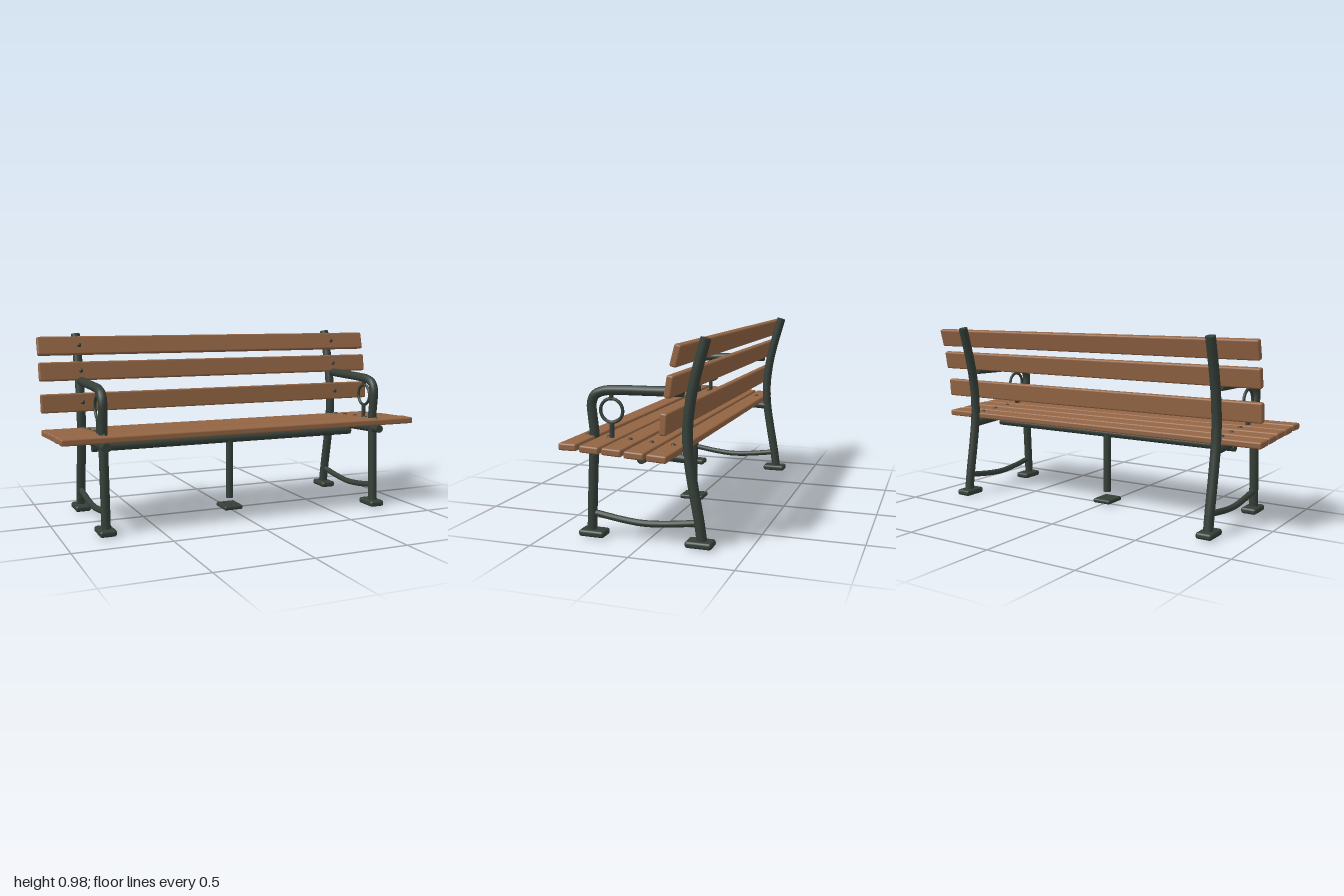
import * as THREE from 'three';
import { mergeGeometries } from 'three/addons/utils/BufferGeometryUtils.js';
import { RoundedBoxGeometry } from 'three/addons/geometries/RoundedBoxGeometry.js';

const iron = new THREE.MeshStandardMaterial({ name: 'dark green iron', color: 0x353f38 });
const wood = new THREE.MeshStandardMaterial({ name: 'brown wood', color: 0x936544 });

function add(parent, name, geometry, material, x = 0, y = 0, z = 0) {
  const mesh = new THREE.Mesh(geometry, material);
  mesh.name = name;
  mesh.position.set(x, y, z);
  parent.add(mesh);
  return mesh;
}

// Round bar with capped ends through [z, y] points in the plane x = 0
function bar(points, radius, segments = 28) {
  const curve = new THREE.CatmullRomCurve3(points.map(([z, y]) => new THREE.Vector3(0, y, z)));
  const caps = [0, 1].map((t) => {
    const direction = curve.getTangent(t).multiplyScalar(t ? 1 : -1);
    const cap = new THREE.CircleGeometry(radius, 14);
    cap.applyQuaternion(new THREE.Quaternion().setFromUnitVectors(new THREE.Vector3(0, 0, 1), direction));
    const p = curve.getPoint(t);
    return cap.translate(p.x, p.y, p.z);
  });
  return mergeGeometries([new THREE.TubeGeometry(curve, segments, radius, 14), ...caps]);
}

function createSideFrame() {
  const frame = new THREE.Group();
  add(frame, 'backPost', bar([[-0.283, 0.005], [-0.266, 0.127], [-0.235, 0.3], [-0.214, 0.44],
    [-0.21, 0.56], [-0.224, 0.69], [-0.247, 0.8], [-0.297, 0.98]], 0.025), iron);
  add(frame, 'frontLeg', bar([[0.282, 0.02], [0.272, 0.245], [0.261, 0.455]], 0.024), iron);
  add(frame, 'armrest', bar([[0.26, 0.44], [0.258, 0.52], [0.266, 0.6], [0.269, 0.66], [0.25, 0.7],
    [0.2, 0.721], [0.12, 0.727], [-0.035, 0.73], [-0.19, 0.733]], 0.0235, 48), iron);
  add(frame, 'seatRail', bar([[0.335, 0.452], [0.06, 0.438], [-0.21, 0.423]], 0.022), iron);
  add(frame, 'stretcher', bar([[0.27, 0.122], [0.12, 0.1], [0.017, 0.092], [-0.09, 0.098], [-0.26, 0.12]], 0.016), iron);

  // Ring ornament between seat and armrest
  const ring = add(frame, 'armRing', new THREE.TorusGeometry(0.0565, 0.008, 10, 36), iron, 0, 0.628, 0.167);
  ring.rotation.y = Math.PI / 2;
  add(frame, 'ringLowerPost', bar([[0.167, 0.44], [0.167, 0.57]], 0.011, 2), iron);
  add(frame, 'ringUpperPost', bar([[0.167, 0.686], [0.167, 0.72]], 0.011, 2), iron);

  for (const [name, z] of [['frontFoot', 0.271], ['backFoot', -0.271]]) {
    add(frame, name, new RoundedBoxGeometry(0.086, 0.033, 0.132, 3, 0.013), iron, 0, 0.023, z);
  }
  return frame;
}

// Slat lying flat with a bolt over each side frame; tilted about x
function createSlat(name, y, z, tilt, depth) {
  const slat = new THREE.Group();
  slat.name = name;
  add(slat, 'board', new RoundedBoxGeometry(2, 0.034, depth, 2, 0.009), wood);
  for (const x of [-0.778, 0.778]) {
    const bolt = add(slat, 'bolt', new THREE.SphereGeometry(0.012, 12, 8), iron, x, 0.016, 0);
    bolt.scale.y = 0.8;
  }
  slat.position.set(0, y, z);
  slat.rotation.x = tilt;
  return slat;
}

export function createModel() {
  const bench = new THREE.Group();
  bench.name = 'parkBench';

  for (const [name, x] of [['rightFrame', -0.778], ['leftFrame', 0.778]]) {
    const frame = createSideFrame();
    frame.name = name;
    frame.position.x = x;
    bench.add(frame);
  }

  // Seat: [y, z, tilt, depth]
  [[0.489, 0.291, 0, 0.09], [0.483, 0.184, -0.05, 0.096], [0.479, 0.075, -0.05, 0.096],
    [0.472, -0.033, -0.05, 0.096], [0.466, -0.14, -0.05, 0.096]]
    .forEach(([y, z, tilt, depth], i) => bench.add(createSlat(`seatSlat${i + 1}`, y, z, tilt, depth)));

  // Backrest: [y, z, backward lean]
  [[0.62, -0.173, 0.07], [0.786, -0.2, 0.17], [0.92, -0.231, 0.26]]
    .forEach(([y, z, lean], i) => bench.add(createSlat(`backSlat${i + 1}`, y, z, Math.PI / 2 - lean, 0.1)));

  // Long beam and middle support
  const beam = add(bench, 'crossBeam', new THREE.CylinderGeometry(0.022, 0.022, 1.556, 14), iron, 0, 0.402, 0.021);
  beam.rotation.z = Math.PI / 2;
  add(bench, 'middleLeg', new THREE.CylinderGeometry(0.021, 0.021, 0.335, 14), iron, 0, 0.233, 0.021);
  add(bench, 'middleFoot', new RoundedBoxGeometry(0.11, 0.024, 0.132, 3, 0.01), iron, 0, 0.019, 0.021);
  return bench;
}
